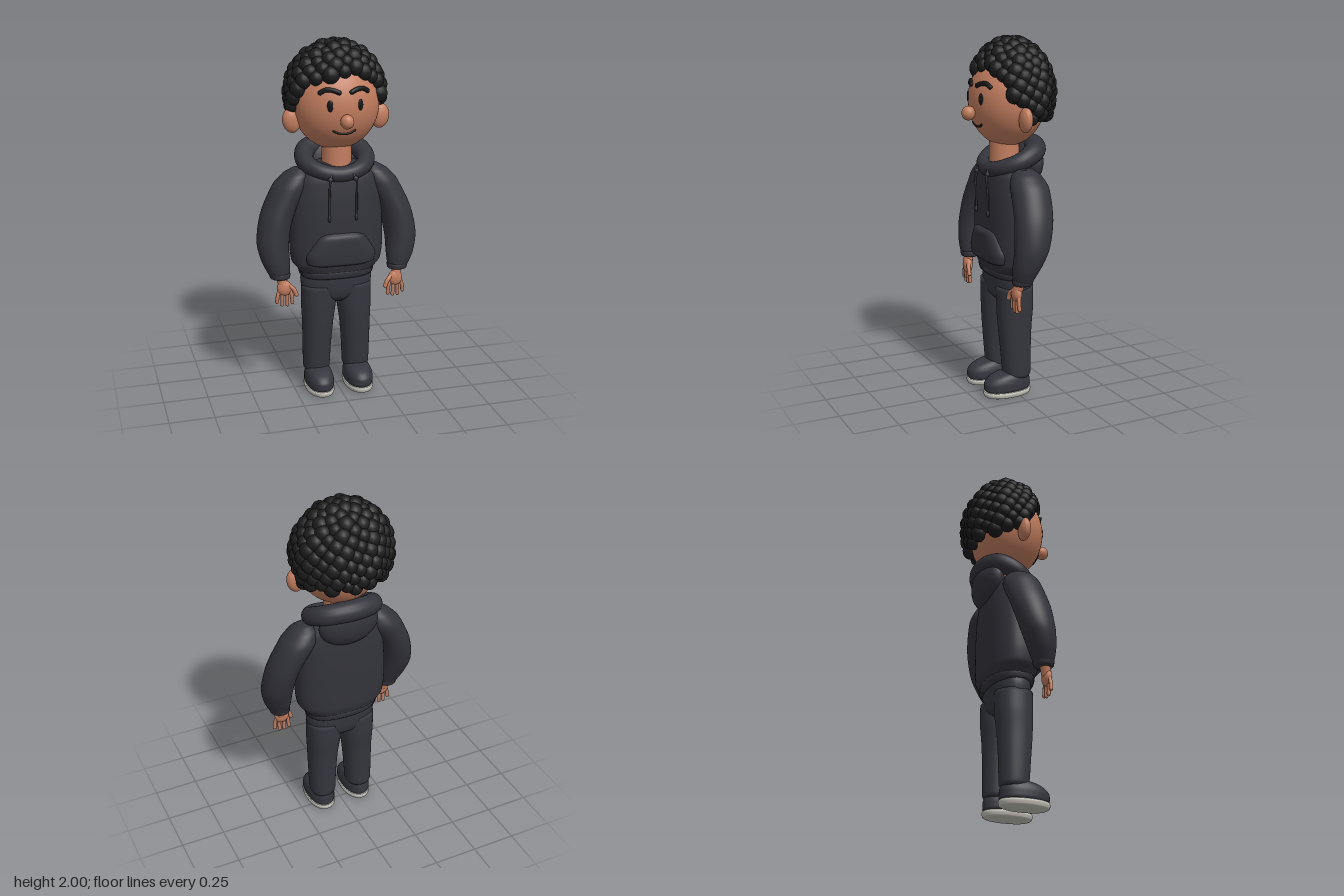
import * as THREE from 'three';
import { mergeGeometries } from 'three/addons/utils/BufferGeometryUtils.js';

const mat = (name, color) => {
  const m = new THREE.MeshStandardMaterial({ color });
  m.name = name;
  return m;
};

// Smooth closed skin over horizontal sections, bottom to top: [x, y, z, rx, rz].
// power squares the sections off; ripple adds knitted ribs.
function loft(sections, { power = 2, ripple = 0, sides = 40, per = 5 } = {}) {
  const centres = new THREE.CatmullRomCurve3(sections.map(s => new THREE.Vector3(s[0], s[1], s[2])));
  const radii = new THREE.CatmullRomCurve3(sections.map(s => new THREE.Vector3(s[3], s[4], 0)));
  const steps = (sections.length - 1) * per, pos = [], idx = [];
  const bend = v => Math.sign(v) * Math.pow(Math.abs(v), 2 / power);
  for (let i = 0; i <= steps; i++) {
    const c = centres.getPoint(i / steps), r = radii.getPoint(i / steps);
    for (let j = 0; j < sides; j++) {
      const a = j / sides * Math.PI * 2, k = 1 + (j % 2 ? ripple : -ripple);
      pos.push(c.x + bend(Math.cos(a)) * r.x * k, c.y, c.z + bend(Math.sin(a)) * r.y * k);
    }
  }
  for (let i = 0; i < steps; i++) for (let j = 0; j < sides; j++) {
    const a = i * sides + j, b = i * sides + (j + 1) % sides;
    idx.push(a, a + sides, b, b, a + sides, b + sides);
  }
  const low = pos.length / 3, last = steps * sides, end = sections[sections.length - 1];
  pos.push(...sections[0].slice(0, 3), ...end.slice(0, 3));
  for (let j = 0; j < sides; j++) {
    const n = (j + 1) % sides;
    idx.push(low, j, n, low + 1, last + n, last + j);
  }
  const g = new THREE.BufferGeometry();
  g.setAttribute('position', new THREE.Float32BufferAttribute(pos, 3));
  g.setIndex(idx);
  g.computeVertexNormals();
  return g;
}

const ball = (x, y, z, rx, ry, rz, w = 32, h = 24) =>
  new THREE.SphereGeometry(1, w, h).scale(rx, ry, rz).translate(x, y, z);

const vecs = pts => pts.map(p => new THREE.Vector3(...p));

// Round-ended cord through the given points
function cord(pts, r) {
  const v = vecs(pts), tube = new THREE.TubeGeometry(new THREE.CatmullRomCurve3(v), 20, r, 10);
  const ends = [v[0], v[v.length - 1]].map(p => ball(p.x, p.y, p.z, r, r, r, 12, 8));
  return mergeGeometries([tube, ...ends]);
}

export function createModel() {
  const model = new THREE.Group();
  model.name = 'boyInHoodie';
  const skin = mat('skin', 0xc27d5f), hairMat = mat('hair', 0x1c1c1c), ink = mat('faceInk', 0x151515);
  const cloth = mat('hoodieCloth', 0x33333b), denim = mat('trouserCloth', 0x35363e), rubber = mat('soleRubber', 0xc4c3ba);
  const add = (name, geometry, material) => {
    const m = new THREE.Mesh(geometry, material);
    m.name = name;
    model.add(m);
    return m;
  };

  // Head and neck
  const HY = 1.65, HX = 0.237, HH = 0.25, HZ = 0.205;
  const faceZ = (x, y) => HZ * Math.sqrt(1 - (x / HX) ** 2 - ((y - HY) / HH) ** 2);
  const onFace = pts => pts.map(([x, y]) => [x, y, faceZ(x, y)]);
  add('head', ball(0, HY, 0, HX, HH, HZ, 48, 36), skin);
  add('neck', new THREE.CylinderGeometry(0.08, 0.085, 0.2, 32).translate(0, 1.37, 0.015), skin);
  add('nose', ball(0, 1.59, 0.226, 0.036, 0.039, 0.038), skin);
  add('mouth', cord(onFace([[-0.06, 1.533], [-0.03, 1.519], [0, 1.515], [0.03, 1.519], [0.058, 1.533]]), 0.006), ink);

  // Hair: overlapping curls spread over an egg, kept above the hairline
  const curls = [], N = 245;
  for (let i = 0; i < N; i++) {
    const u = 1 - 2 * (i + 0.5) / N, a = i * 2.39996, q = Math.sqrt(1 - u * u);
    const x = 0.247 * q * Math.cos(a), y = 1.695 + 0.257 * u, z = -0.025 + 0.197 * q * Math.sin(a);
    const line = z > 0.04
      ? THREE.MathUtils.mapLinear(Math.min(z, 0.14), 0.04, 0.14, 1.665, 1.815)
      : THREE.MathUtils.mapLinear(Math.max(z, -0.03), -0.03, 0.04, 1.57, 1.665);
    if (y < line) continue;
    const r = 0.043 + 0.005 * Math.sin(i * 12.9);
    curls.push(ball(x, y, z, r, r * 1.06, r, 14, 10));
  }
  add('hairCurls', mergeGeometries(curls), hairMat);

  // Hoodie body, hem and pocket
  add('hoodieBody', loft([
    [0, 0.7, 0, 0.2, 0.118], [0, 0.73, 0, 0.222, 0.128], [0, 0.77, 0, 0.253, 0.138], [0, 0.86, 0, 0.263, 0.14],
    [0, 1.0, 0, 0.26, 0.14], [0, 1.14, 0, 0.248, 0.136], [0, 1.25, 0, 0.222, 0.125], [0, 1.31, 0, 0.16, 0.1],
    [0, 1.335, 0, 0.09, 0.08]], { power: 2.5, sides: 56 }), cloth);
  add('hoodieHem', loft([
    [0, 0.68, 0, 0.192, 0.112], [0, 0.69, 0, 0.206, 0.122], [0, 0.715, 0, 0.212, 0.127], [0, 0.735, 0, 0.205, 0.12]],
    { power: 2.5, sides: 112, ripple: 0.008 }), cloth);
  add('frontPocket', loft([
    [0, 0.765, 0.025, 0.16, 0.115], [0, 0.78, 0.025, 0.197, 0.134], [0, 0.82, 0.025, 0.203, 0.138],
    [0, 0.88, 0.025, 0.175, 0.14], [0, 0.935, 0.025, 0.14, 0.136], [0, 0.955, 0.025, 0.115, 0.113]],
    { power: 4, sides: 64 }), cloth);

  // Hood: a rolled collar, thicker at the back, and the bag hanging behind
  const rim = new THREE.CatmullRomCurve3(vecs([
    [0, 1.278, 0.108], [0.11, 1.297, 0.085], [0.172, 1.335, 0], [0.14, 1.383, -0.1],
    [0, 1.4, -0.142], [-0.14, 1.383, -0.1], [-0.172, 1.335, 0], [-0.11, 1.297, 0.085]]), true);
  const collar = new THREE.TubeGeometry(rim, 72, 0.04, 20, true);
  const cp = collar.attributes.position, cn = collar.attributes.normal;
  for (let i = 0; i < cp.count; i++) {
    const grow = THREE.MathUtils.mapLinear(rim.getPoint(0).z - cp.getZ(i), 0, 0.28, 0.003, 0.02);
    cp.setXYZ(i, cp.getX(i) + cn.getX(i) * grow, cp.getY(i) + cn.getY(i) * grow, cp.getZ(i) + cn.getZ(i) * grow);
  }
  add('hoodCollar', collar, cloth);
  add('hoodBag', ball(0, 0, 0, 0.172, 0.13, 0.075).rotateX(-0.1).translate(0, 1.305, -0.112), cloth);

  // Hips
  add('trouserHips', loft([
    [0, 0.53, 0, 0.07, 0.06], [0, 0.56, 0, 0.15, 0.09], [0, 0.61, 0, 0.198, 0.104], [0, 0.66, 0, 0.204, 0.107],
    [0, 0.71, 0, 0.195, 0.105]], { power: 2.3 }), denim);

  for (const s of [1, -1]) {
    const side = s > 0 ? 'left' : 'right';
    const mir = rows => rows.map(([x, ...rest]) => [s * x, ...rest]);

    // Face features and ear
    add(side + 'Eye', ball(0, 0, 0, 0.016, 0.031, 0.006, 20, 14).rotateY(s * 0.4)
      .translate(s * 0.083, 1.67, faceZ(0.083, 1.67)), ink);
    add(side + 'Eyebrow', cord(mir(onFace([[0.034, 1.738], [0.065, 1.75], [0.1, 1.752], [0.128, 1.737]])), 0.013), ink);
    add(side + 'Ear', ball(0, 0, 0, 0.05, 0.068, 0.034).rotateZ(-s * 0.15).translate(s * 0.248, 1.568, 0.008), skin);

    // Drawstring with knot and tip
    add(side + 'Drawstring', mergeGeometries([
      cord(mir([[0.06, 1.285, 0.14], [0.072, 1.262, 0.155], [0.076, 1.15, 0.15], [0.076, 1.035, 0.15]]), 0.006),
      ball(s * 0.071, 1.262, 0.15, 0.014, 0.014, 0.012, 14, 10),
      ball(s * 0.076, 1.045, 0.15, 0.009, 0.02, 0.009, 12, 8)]), cloth);

    // Sleeve and ribbed cuff
    add(side + 'Sleeve', loft(mir([
      [0.342, 0.715, 0.07, 0.05, 0.048], [0.345, 0.74, 0.068, 0.062, 0.058], [0.357, 0.8, 0.055, 0.078, 0.075],
      [0.366, 0.9, 0.03, 0.089, 0.094], [0.335, 1.05, 0.004, 0.093, 0.106], [0.258, 1.2, -0.012, 0.1, 0.106],
      [0.22, 1.27, -0.01, 0.077, 0.08], [0.208, 1.302, -0.008, 0.035, 0.04]])), cloth);
    add(side + 'Cuff', loft(mir([
      [0.338, 0.703, 0.072, 0.045, 0.043], [0.338, 0.708, 0.072, 0.054, 0.052], [0.34, 0.73, 0.07, 0.058, 0.056],
      [0.342, 0.745, 0.068, 0.052, 0.05]]), { ripple: 0.018, sides: 56 }), cloth);

    // Hand: wrist, palm, four fingers and a thumb
    const hand = [
      cord(mir([[0.335, 0.72, 0.08], [0.325, 0.67, 0.093]]), 0.028),
      ball(s * 0.32, 0.652, 0.097, 0.042, 0.046, 0.025, 20, 16),
      cord(mir([[0.298, 0.67, 0.1], [0.27, 0.645, 0.112], [0.257, 0.615, 0.114]]), 0.012)];
    for (let f = 0; f < 4; f++) {
      const k = f - 1.5, tip = [0.565, 0.555, 0.557, 0.575][f];
      hand.push(cord(mir([[0.32 + k * 0.019, 0.645, 0.098], [0.32 + k * 0.026, 0.61, 0.102],
        [0.32 + k * 0.029, tip, 0.1]]), 0.0105));
    }
    add(side + 'Hand', mergeGeometries(hand), skin);

    // Trouser leg
    add(side + 'TrouserLeg', loft(mir([
      [0.116, 0.105, -0.007, 0.065, 0.068], [0.116, 0.125, -0.005, 0.075, 0.078], [0.114, 0.26, 0, 0.08, 0.085],
      [0.109, 0.4, 0.003, 0.087, 0.094], [0.103, 0.52, 0, 0.098, 0.102], [0.1, 0.63, 0, 0.1, 0.103]]),
      { power: 2.2 }), denim);

    // Shoe and sole
    add(side + 'Shoe', loft(mir([
      [0.115, 0.03, 0.053, 0.07, 0.126], [0.115, 0.05, 0.053, 0.079, 0.137], [0.115, 0.08, 0.053, 0.079, 0.136],
      [0.115, 0.11, 0.044, 0.072, 0.12], [0.115, 0.13, 0.028, 0.06, 0.092], [0.115, 0.14, 0.01, 0.045, 0.06]]),
      { power: 2.2 }), denim);
    add(side + 'Sole', loft(mir([
      [0.115, 0, 0.053, 0.066, 0.122], [0.115, 0.006, 0.053, 0.077, 0.135], [0.115, 0.026, 0.053, 0.083, 0.141],
      [0.115, 0.036, 0.053, 0.079, 0.137]]), { power: 2.2 }), rubber);
  }
  return model;
}
